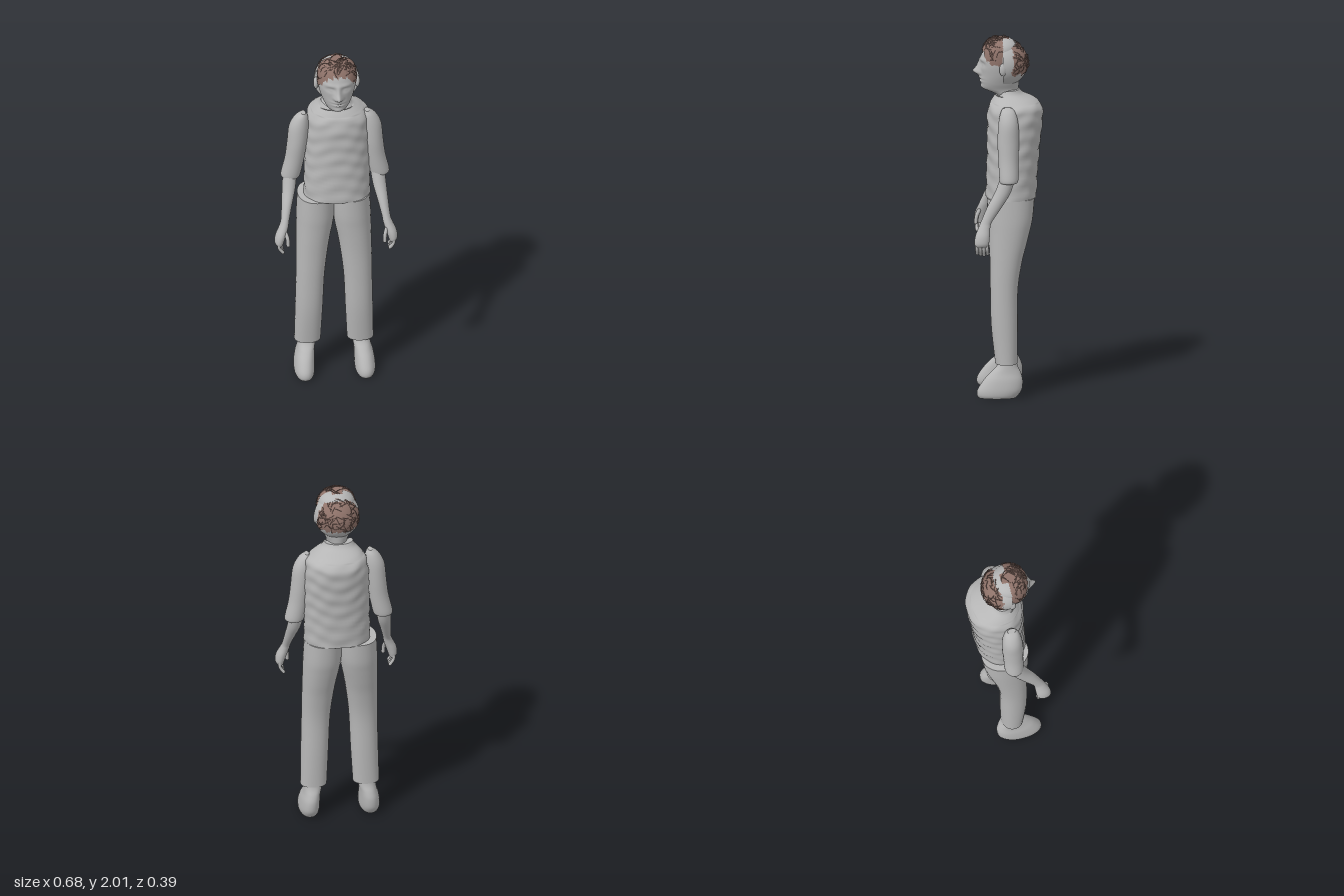
import * as THREE from 'three';

const grey = new THREE.MeshStandardMaterial({ color: 0xb6b6b6, side: THREE.DoubleSide });
grey.name = 'plain grey';
const brown = new THREE.MeshStandardMaterial({ color: 0x8f736a, side: THREE.DoubleSide });
brown.name = 'hair brown';

const HX = 0.014; // middle line of the head

// Smooth interpolation through a list of rings
function sampleRings(rings, steps) {
  const out = [], n = rings.length, at = i => rings[Math.min(n - 1, Math.max(0, i))];
  for (let i = 0; i < n - 1; i++) {
    for (let s = 0; s < steps; s++) {
      const t = s / steps, [a, b, c, d] = [at(i - 1), at(i), at(i + 1), at(i + 2)];
      out.push(b.map((v, k) => v + 0.5 * t * (c[k] - a[k]
        + t * (2 * a[k] - 5 * v + 4 * c[k] - d[k] + t * (3 * (v - c[k]) + d[k] - a[k])))));
    }
  }
  out.push(rings[n - 1]);
  return out;
}

// Skin over horizontal rings, top to bottom: [y, xMin, xMax, zMin, zMax]
function loft(rings, { sides = 32, steps = 5, power = 2, move, mirror = false } = {}) {
  const rows = sampleRings(rings, steps), pos = [], idx = [];
  const addRing = ([y, x0, x1, z0, z1]) => {
    if (mirror) [x0, x1] = [-x1, -x0];
    for (let j = 0; j < sides; j++) {
      const a = j / sides * Math.PI * 2, c = Math.cos(a), s = Math.sin(a);
      const v = new THREE.Vector3(
        (x0 + x1) / 2 + (x1 - x0) / 2 * Math.sign(c) * Math.abs(c) ** (2 / power), y,
        (z0 + z1) / 2 + (z1 - z0) / 2 * Math.sign(s) * Math.abs(s) ** (2 / power));
      if (move) move(v, a);
      pos.push(v.x, v.y, v.z);
    }
  };
  rows.forEach(addRing);
  for (let i = 0; i < rows.length - 1; i++) for (let j = 0; j < sides; j++) {
    const a = i * sides + j, b = i * sides + (j + 1) % sides;
    idx.push(a, b, a + sides, b, b + sides, a + sides);
  }
  // end caps with their own vertices, so that the rims stay sharp
  [rows[0], rows[rows.length - 1]].forEach((r, end) => {
    const base = pos.length / 3;
    addRing(r);
    for (let j = 1; j < sides - 1; j++) {
      if (end) idx.push(base, base + j, base + j + 1);
      else idx.push(base, base + j + 1, base + j);
    }
  });
  const g = new THREE.BufferGeometry();
  g.setAttribute('position', new THREE.Float32BufferAttribute(pos, 3));
  g.setIndex(idx);
  g.computeVertexNormals();
  return g;
}

// Keep only the triangles whose centre passes the test
function trim(geo, keep) {
  const p = geo.attributes.position, src = geo.index.array, out = [];
  const c = new THREE.Vector3(), v = new THREE.Vector3();
  for (let i = 0; i < src.length; i += 3) {
    c.set(0, 0, 0);
    for (let k = 0; k < 3; k++) c.add(v.fromBufferAttribute(p, src[i + k]));
    if (keep(c.divideScalar(3))) out.push(src[i], src[i + 1], src[i + 2]);
  }
  geo.setIndex(out);
  return geo;
}

let seed = 7;
const rand = () => (seed = (seed * 16807) % 2147483647) / 2147483647;

const headRings = [
  [1.995, HX - 0.03, HX + 0.03, 0.0, 0.075], [1.985, HX - 0.062, HX + 0.062, -0.025, 0.1],
  [1.96, HX - 0.09, HX + 0.09, -0.05, 0.122], [1.92, HX - 0.104, HX + 0.104, -0.06, 0.143],
  [1.86, HX - 0.106, HX + 0.106, -0.065, 0.155], [1.8, HX - 0.095, HX + 0.095, -0.065, 0.152],
  [1.75, HX - 0.078, HX + 0.078, -0.06, 0.15], [1.715, HX - 0.062, HX + 0.062, -0.056, 0.137],
  [1.695, HX - 0.058, HX + 0.058, -0.055, 0.095], [1.675, HX - 0.062, HX + 0.062, -0.055, 0.06],
  [1.62, HX - 0.07, HX + 0.07, -0.055, 0.05],
];

// Facial features: [x offset, y, depth, x spread, y spread]
const features = [
  [0, 1.81, 0.038, 0.013, 0.015], [0, 1.845, 0.017, 0.01, 0.022],
  [-0.018, 1.803, 0.01, 0.008, 0.008], [0.018, 1.803, 0.01, 0.008, 0.008],
  [-0.042, 1.855, -0.011, 0.018, 0.01], [0.042, 1.855, -0.011, 0.018, 0.01],
  [-0.042, 1.853, 0.006, 0.01, 0.006], [0.042, 1.853, 0.006, 0.01, 0.006],
  [-0.04, 1.88, 0.005, 0.025, 0.008], [0.04, 1.88, 0.005, 0.025, 0.008],
  [0, 1.775, 0.009, 0.022, 0.006], [0, 1.757, 0.009, 0.019, 0.006],
  [0, 1.766, -0.005, 0.026, 0.003], [0, 1.722, 0.009, 0.022, 0.012],
];
function shapeFace(v) {
  if (v.z < 0.05) return;
  let dz = 0;
  for (const [x, y, d, sx, sy] of features)
    dz += d * Math.exp(-(((v.x - HX - x) / sx) ** 2 + ((v.y - y) / sy) ** 2) / 2);
  v.z += dz;
}

const torsoRings = [
  [1.71, -0.07, 0.09, -0.062, 0.05], [1.685, -0.082, 0.105, -0.085, 0.066],
  [1.655, -0.112, 0.15, -0.15, 0.088], [1.62, -0.138, 0.19, -0.184, 0.106],
  [1.57, -0.148, 0.2, -0.192, 0.117], [1.45, -0.156, 0.205, -0.18, 0.118],
  [1.3, -0.16, 0.203, -0.166, 0.12], [1.11, -0.163, 0.203, -0.155, 0.125],
];
const legRings = [
  [1.112, -0.008, 0.2, -0.145, 0.118], [1.0, -0.005, 0.206, -0.135, 0.115],
  [0.93, 0.004, 0.208, -0.12, 0.11], [0.85, 0.02, 0.209, -0.1, 0.106],
  [0.75, 0.036, 0.21, -0.075, 0.102], [0.6, 0.053, 0.211, -0.053, 0.1],
  [0.4, 0.062, 0.215, -0.052, 0.095], [0.19, 0.073, 0.219, -0.05, 0.072],
];
const footRings = [
  [0.24, 0.1, 0.19, -0.04, 0.045], [0.18, 0.1, 0.198, -0.05, 0.06],
  [0.14, 0.108, 0.205, -0.068, 0.098], [0.1, 0.11, 0.217, -0.079, 0.135],
  [0.05, 0.11, 0.225, -0.076, 0.168], [0.018, 0.112, 0.224, -0.058, 0.174],
  [0, 0.12, 0.216, -0.04, 0.165],
];
const sleeveRings = [
  [1.637, 0.163, 0.19, -0.02, 0.03], [1.61, 0.15, 0.225, -0.04, 0.044],
  [1.55, 0.146, 0.255, -0.055, 0.055], [1.45, 0.156, 0.266, -0.058, 0.06],
  [1.35, 0.17, 0.278, -0.055, 0.055], [1.25, 0.19, 0.3, -0.055, 0.05],
  [1.23, 0.2, 0.294, -0.046, 0.044],
];
const forearmRings = [
  [1.28, 0.2, 0.28, -0.045, 0.035], [1.18, 0.213, 0.288, -0.015, 0.073],
  [1.1, 0.235, 0.295, 0.033, 0.115], [1.02, 0.256, 0.303, 0.088, 0.15],
  [0.985, 0.262, 0.315, 0.1, 0.165], [0.94, 0.275, 0.335, 0.103, 0.183],
  [0.9, 0.288, 0.34, 0.107, 0.187], [0.88, 0.294, 0.33, 0.115, 0.18],
];

export function createModel() {
  const model = new THREE.Group();
  const add = (name, geo, mat = grey, parent = model) => {
    const m = new THREE.Mesh(geo, mat);
    m.name = name;
    parent.add(m);
    return m;
  };

  // Head, neck and face
  add('head', loft(headRings, { sides: 96, steps: 10, move: shapeFace }));

  // Rear half of the skull, a slightly wider shell
  const shell = k => new THREE.SphereGeometry(1, 48, 48, Math.PI, Math.PI)
    .scale(0.126 * k, 0.131 * k, 0.137 * k).translate(HX, 1.855, 0.03);
  add('skullBack', shell(1));
  add('skullRim', new THREE.CircleGeometry(1, 40).scale(0.126, 0.131, 1).translate(HX, 1.855, 0.029));

  // Hair patches with ragged edges
  const ragged = (x, y) => 0.007 * Math.sin(x * 190 + y * 60) + 0.004 * Math.sin(x * 430);
  const wider = headRings.map(([y, a, b, c, d]) => [y + 0.004, a - 0.003, b + 0.003, c, d + 0.004]);
  const frontHair = trim(loft(wider, { sides: 96, steps: 10 }), c =>
    c.z > 0.03 - (Math.abs(c.x - HX) < 0.03 ? 0.035 : 0)
    && c.y > 1.93 - 0.075 * Math.min(1, Math.abs(c.x - HX) / 0.1) ** 3 + ragged(c.x, c.y));
  const backHair = trim(shell(1.025), c =>
    c.z < -0.022 + ragged(c.x, c.y) && c.y > 1.805 + ragged(c.x, c.y) && c.y < 1.985);
  add('frontHair', frontHair, brown);
  add('backHair', backHair, brown);

  // Loose strands joining nearby points of each patch
  for (const [name, geo] of [['frontStrands', frontHair], ['backStrands', backHair]]) {
    const strands = new THREE.Group();
    strands.name = name;
    const p = geo.attributes.position, ids = geo.index.array;
    const pick = () => new THREE.Vector3().fromBufferAttribute(p, ids[Math.floor(rand() * ids.length)]);
    const centre = new THREE.Vector3(HX, 1.86, 0.03);
    for (let tries = 0; tries < 600 && strands.children.length < 70; tries++) {
      const a = pick(), b = pick(), gap = a.distanceTo(b);
      if (gap < 0.02 || gap > 0.07) continue;
      const mid = a.clone().add(b).multiplyScalar(0.5);
      mid.addScaledVector(mid.clone().sub(centre).normalize(), 0.005 + gap * 0.08);
      add('strand', new THREE.TubeGeometry(new THREE.CatmullRomCurve3([a, mid, b]), 6, 0.0016, 3), brown, strands);
    }
    model.add(strands);
  }

  // Shirt body with soft creases
  add('shirt', loft(torsoRings, {
    sides: 64, steps: 10, power: 2.2,
    move: (v, a) => {
      const w = v.y < 1.64 ? 0.0022 : 0;
      const k = w * (Math.sin(v.y * 75 + 2 * Math.sin(a * 3)) + 0.6 * Math.sin(a * 9 + v.y * 40));
      v.x += k * Math.cos(a);
      v.z += k * Math.sin(a);
      if (v.y > 1.68 && v.z > 0) v.y -= 0.03 * Math.sin(a) ** 2; // neckline dips at the front
    },
  }));

  // Limbs, one set per side
  for (const mirror of [false, true]) {
    const side = mirror ? 'right' : 'left', sx = mirror ? -1 : 1;
    add(side + 'TrouserLeg', loft(legRings, { mirror, power: 2.15 }));
    add(side + 'Foot', loft(footRings, { mirror, power: 2.2 }));
    const arm = new THREE.Group();
    arm.name = side + 'Arm';
    model.add(arm);
    add('sleeve', loft(sleeveRings, { mirror }), grey, arm).position.x = 0.008;
    add('forearm', loft(forearmRings, { mirror, sides: 24 }), grey, arm);
    const finger = (name, r, ...pts) => {
      const path = pts.map(([x, y, z]) => new THREE.Vector3(sx * x, y, z));
      add(name, new THREE.TubeGeometry(new THREE.CatmullRomCurve3(path), 8, r, 8), grey, arm);
      add(name + 'Tip', new THREE.SphereGeometry(r, 8, 6).translate(...path[path.length - 1]), grey, arm);
    };
    for (let i = 0; i < 4; i++) {
      const z = 0.117 + i * 0.019, low = 0.832 + 0.006 * Math.abs(i - 1.3);
      finger('finger', 0.0095, [0.315, 0.91, z], [0.316, 0.87, z], [0.296, low, z - 0.002]);
    }
    finger('thumb', 0.011, [0.285, 0.97, 0.15], [0.27, 0.93, 0.172], [0.267, 0.89, 0.178]);

    // Ear beside the skull shell
    add(side + 'Ear', new THREE.SphereGeometry(1, 16, 12).scale(0.014, 0.036, 0.02)
      .translate(HX + sx * 0.115, 1.84, 0.03));
  }
  return model;
}
